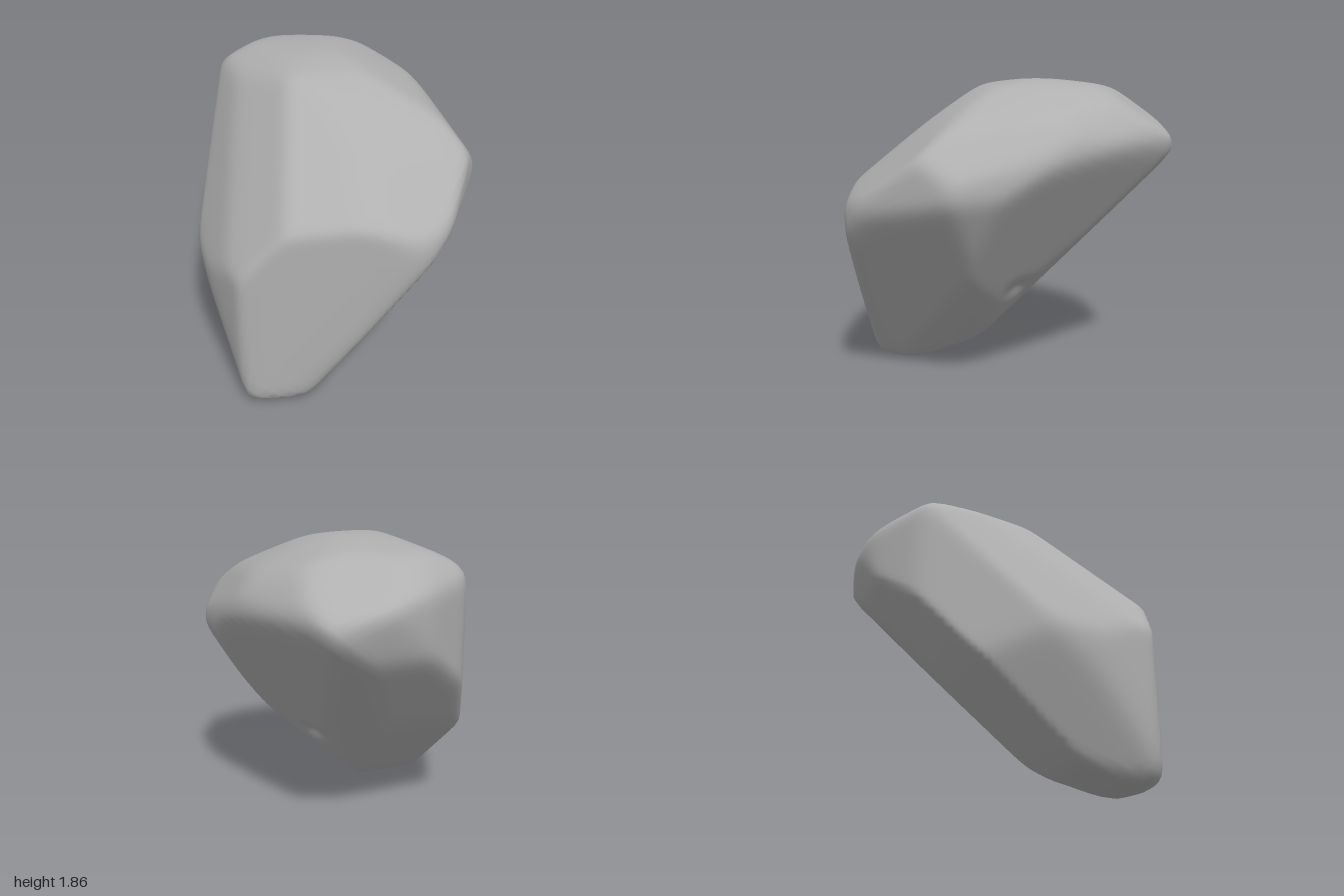
import * as THREE from 'three';
import { mergeVertices } from 'three/addons/utils/BufferGeometryUtils.js';

const MID = 0.935;     // height of the boulder's core above the ground
const SHARPNESS = 55;  // higher gives crisper edges between the faces
const SWELL = 1.017;   // makes up for the stone lost in rounding the edges
const V = (x, y, z) => new THREE.Vector3(x, y, z);

// Outlines of the boulder along the three axes
const acrossOutline = [
  [-.81, .79], [-.71, .05], [-.6, 0], [-.31, 0], [.53, .76],
  [.8, 1.25], [.8, 1.5], [.75, 1.62], [.36, 1.81], [.11, 1.87], [-.16, 1.84], [-.4, 1.72]];
const lengthOutline = [
  [1, 1.07], [.97, 1.18], [.45, 1.62], [.12, 1.81], [-.2, 1.87], [-.77, 1.79],
  [-1, 1.6], [-.9, 1.28], [-.4, .66], [.18, .13], [.5, 0], [.73, .07], [.87, .5]];
const planOutline = [
  [.22, -1], [.5, -.92], [.67, -.5], [.8, 0], [.79, .48], [.4, .93],
  [.22, 1], [-.72, .62], [-.81, .22], [-.78, -.05], [-.4, -.71], [-.07, -.93]];

// Each outline edge becomes a cutting plane through the stone
function edgePlanes(points, lift, u, v) {
  const p = points.map(([a, b]) => new THREE.Vector2(a, b - lift));
  return p.map((a, i) => {
    const b = p[(i + 1) % p.length];
    const n = new THREE.Vector2(b.y - a.y, a.x - b.x).normalize();
    if (n.dot(a) < 0) n.negate();
    const distance = Math.max(...p.map((q) => q.dot(n)));
    const normal = u.clone().multiplyScalar(n.x).addScaledVector(v, n.y);
    return { normal, distance };
  });
}

const facet = (x, y, z, distance) => ({ normal: V(x, y, z).normalize(), distance });

const planes = [
  ...edgePlanes(acrossOutline, MID, V(1, 0, 0), V(0, 1, 0)),
  ...edgePlanes(lengthOutline, MID, V(0, 0, 1), V(0, 1, 0)),
  ...edgePlanes(planOutline, 0, V(1, 0, 0), V(0, 0, 1)),
  facet(.68, -.57, .45, .59),   // front undercut
  facet(.79, -.53, -.31, .4),   // side undercut
  facet(.61, -.66, -.44, .405), // broad underside
  facet(.39, -.69, -.61, .41),  // rear undercut
  facet(-.33, .76, .56, .765),  // sloping front
  facet(-.79, .59, .22, .69),   // right shoulder
  facet(.78, .6, .16, .925),    // left shoulder, front
  facet(.79, .57, -.22, .975),  // left shoulder, rear
  facet(.4, .9, .17, .905),     // crown, front left
  facet(.29, .84, -.52, 1.08),  // crown, rear left
  facet(-.35, .71, -.61, 1.09), // crown, rear right
  facet(-.86, -.38, -.33, .74), // right flank
];

// Distance from the core to the surface: a softly blended nearest plane
function reach(direction) {
  let sum = 0;
  for (const { normal, distance } of planes) {
    sum += Math.max(0, normal.dot(direction) / distance) ** SHARPNESS;
  }
  return SWELL * sum ** (-1 / SHARPNESS);
}

function boulderGeometry() {
  const ball = new THREE.IcosahedronGeometry(1, 28);
  ball.deleteAttribute('normal');
  ball.deleteAttribute('uv');
  const geometry = mergeVertices(ball, 1e-5);
  const position = geometry.attributes.position;
  const chip = V(.23, -.33, -.03); // small hollow in the underside
  const p = V(0, 0, 0);
  for (let i = 0; i < position.count; i++) {
    p.fromBufferAttribute(position, i).normalize();
    p.multiplyScalar(reach(p));
    p.multiplyScalar(1 - .09 * Math.exp(-p.distanceToSquared(chip) / .006));
    position.setXYZ(i, p.x, p.y, p.z);
  }
  // stand it on the ground
  geometry.computeBoundingBox();
  geometry.translate(0, -geometry.boundingBox.min.y, 0);
  geometry.computeVertexNormals();
  return geometry;
}

export function createModel() {
  const stone = new THREE.MeshStandardMaterial({ color: 0xb0b0b0 });
  stone.name = 'grey stone';
  const boulder = new THREE.Mesh(boulderGeometry(), stone);
  boulder.name = 'boulder';
  const group = new THREE.Group();
  group.name = 'rock';
  group.add(boulder);
  return group;
}
